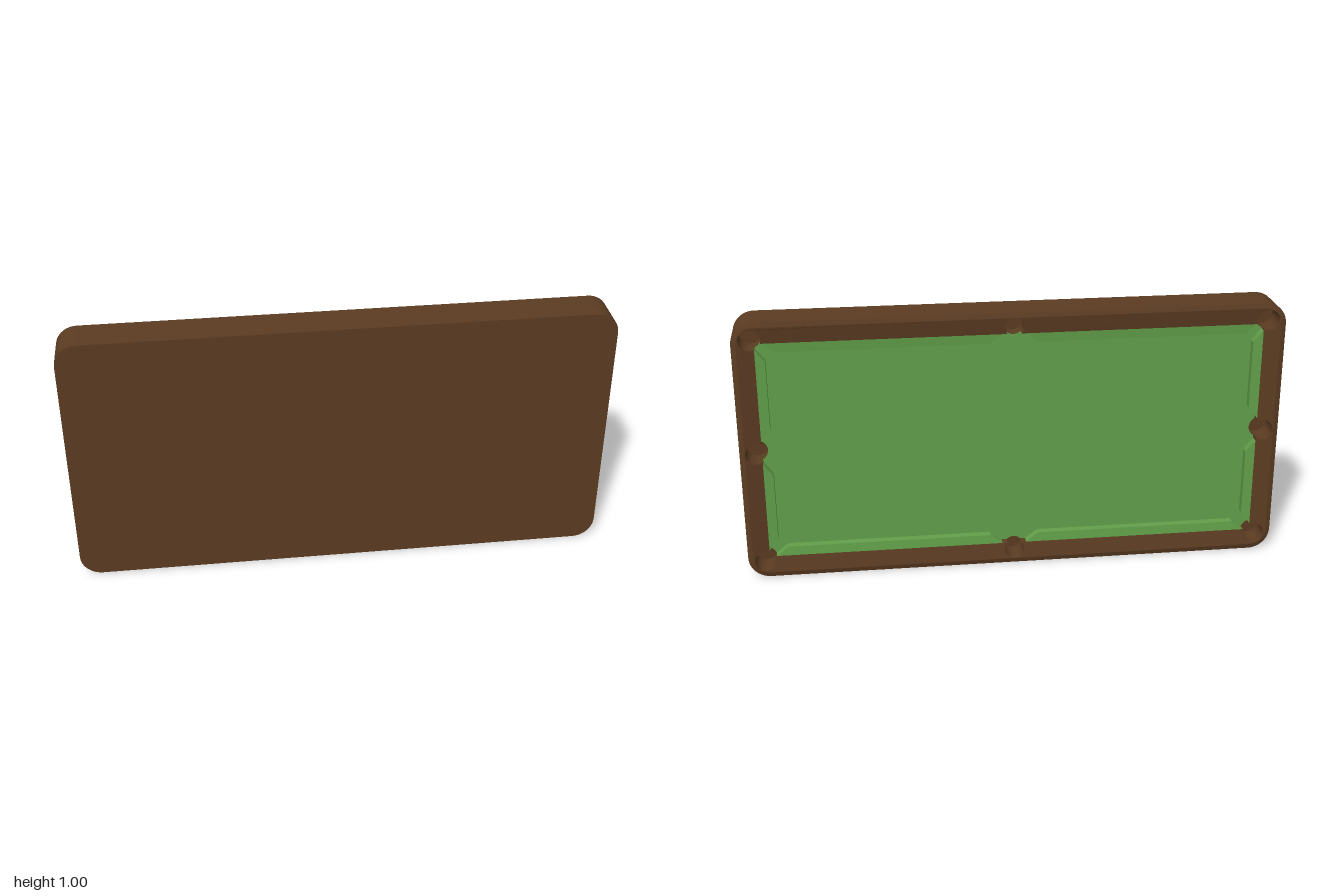
import * as THREE from 'three';
import { toCreasedNormals } from 'three/addons/utils/BufferGeometryUtils.js';
import { ConvexGeometry } from 'three/addons/geometries/ConvexGeometry.js';

// Table tipped on its long side: playing face towards -z, underside towards +z
const W = 1, H = 0.4975, R = 0.08;
const UNDER = 0.075, EDGE = -0.069, RIDGE = -0.075, INNER = -0.064, FLOOR = -0.032, WELL = 0.02;
const RIDGE_IN = 0.018, RAIL = 0.08, NOSE = 0.115;

export function createModel() {
  const wood = new THREE.MeshStandardMaterial({ color: 0x5c3c22, side: THREE.DoubleSide });
  wood.name = 'brown wood';
  const cloth = new THREE.MeshStandardMaterial({ color: 0x62a04a, side: THREE.DoubleSide });
  cloth.name = 'green cloth';

  const model = new THREE.Group();
  model.name = 'poolTable';
  const table = new THREE.Group();
  table.name = 'table';
  table.position.y = H;
  model.add(table);

  const add = (name, geometry, material) => {
    const mesh = new THREE.Mesh(geometry, material);
    mesh.name = name;
    table.add(mesh);
    return mesh;
  };

  // Rounded outline at a given inset from the outer edge
  const outline = (inset) => {
    const points = [], r = R - inset;
    for (let c = 0; c < 4; c++) {
      const cx = (c === 0 || c === 3 ? 1 : -1) * (W - R), cy = (c < 2 ? 1 : -1) * (H - R);
      for (let i = 0; i <= 10; i++) {
        const a = (c + i / 10) * Math.PI / 2;
        points.push(new THREE.Vector2(cx + r * Math.cos(a), cy + r * Math.sin(a)));
      }
    }
    return points;
  };

  // Distance inward from the rounded outer edge
  const insetAt = (x, y) => {
    const dx = Math.abs(x) - (W - R), dy = Math.abs(y) - (H - R);
    return dx > 0 && dy > 0 ? R - Math.hypot(dx, dy) : -Math.max(dx, dy) + R;
  };
  const railHeight = (x, y) =>
    THREE.MathUtils.mapLinear(insetAt(x, y), RIDGE_IN, RAIL, RIDGE, INNER);

  // Closed strip between two matching loops
  const band = (a, za, b, zb) => {
    const pos = [], n = a.length;
    const put = (p, z) => pos.push(p.x, p.y, typeof z === 'function' ? z(p.x, p.y) : z);
    for (let i = 0; i < n; i++) {
      const j = (i + 1) % n;
      put(a[i], za); put(b[j], zb); put(a[j], za);
      put(a[i], za); put(b[i], zb); put(b[j], zb);
    }
    const g = new THREE.BufferGeometry();
    g.setAttribute('position', new THREE.Float32BufferAttribute(pos, 3));
    return toCreasedNormals(g, 0.5);
  };

  // Eight pockets, counter-clockwise from the middle of the +x side
  const pockets = [];
  for (let k = 0; k < 8; k++) {
    const sx = [1, 1, 0, -1, -1, -1, 0, 1][k], sy = [0, 1, 1, 1, 0, -1, -1, -1][k];
    const corner = sx !== 0 && sy !== 0;
    const inset = corner ? 0.065 : sx ? 0.06 : 0.055;
    const r = sx ? 0.04 : 0.036;
    const d = (RAIL - inset) / r;
    pockets.push({
      x: sx * (W - inset), y: sy * (H - inset), r,
      facing: k * Math.PI / 4,
      half: corner ? Math.PI * 0.75 + Math.asin(d) : Math.PI - Math.acos(d),
    });
  }

  // Inner edge of the rails, bulging out around each pocket
  const inner = [];
  for (const p of pockets) {
    for (let i = 0; i <= 20; i++) {
      const a = p.facing + p.half * (i / 10 - 1);
      inner.push(new THREE.Vector2(p.x + p.r * Math.cos(a), p.y + p.r * Math.sin(a)));
    }
  }

  // Body, rim bevel and underside
  const outer = outline(0), ridge = outline(RIDGE_IN);
  add('bodySides', band(outer, UNDER, outer, EDGE), wood);
  add('rimBevel', band(outer, EDGE, ridge, RIDGE), wood);
  add('underside', new THREE.ShapeGeometry(new THREE.Shape(outer)), wood).position.z = UNDER;

  // Rails sloping down towards the cushions
  const railShape = new THREE.Shape(ridge);
  railShape.holes.push(new THREE.Path(inner));
  const rail = new THREE.ShapeGeometry(railShape);
  const rp = rail.attributes.position;
  for (let i = 0; i < rp.count; i++) rp.setZ(i, railHeight(rp.getX(i), rp.getY(i)));
  rail.computeVertexNormals();
  add('railTop', rail, wood);
  add('railInnerWall', band(inner, railHeight, inner, FLOOR), wood);

  // Playing bed with pocket openings
  const bed = new THREE.Shape(outline(0.01));
  for (const p of pockets) {
    bed.holes.push(new THREE.Path().absarc(p.x, p.y, p.r, 0, Math.PI * 2, true));
  }
  add('playingBed', new THREE.ShapeGeometry(bed, 24), cloth).position.z = FLOOR;

  // Pocket wells
  for (const p of pockets) {
    const wall = new THREE.CylinderGeometry(p.r, p.r, WELL - FLOOR, 24, 1, true);
    wall.rotateX(Math.PI / 2);
    add('pocketWall', wall, wood).position.set(p.x, p.y, (WELL + FLOOR) / 2);
    add('pocketBottom', new THREE.CircleGeometry(p.r, 24), wood).position.set(p.x, p.y, WELL);
  }

  // Cushions: two per side, with slanted ends at the pockets
  const cushion = (halfLength, halfAcross, along, swap) => {
    for (const side of [1, -1]) {
      const points = [];
      const put = (u, inset, z) => {
        const v = side * (halfAcross - inset);
        points.push(swap ? new THREE.Vector3(v, along * u, z) : new THREE.Vector3(along * u, v, z));
      };
      for (const [outerEnd, noseEnd] of [[0.045, 0.09], [halfLength - 0.105, halfLength - 0.15]]) {
        for (const z of [INNER, FLOOR]) put(outerEnd, RAIL, z);
        for (const z of [-0.061, FLOOR]) put(noseEnd, NOSE, z);
      }
      add('cushion', new ConvexGeometry(points), cloth);
    }
  };
  for (const along of [1, -1]) {
    cushion(W, H, along, false);
    cushion(H, W, along, true);
  }
  return model;
}
